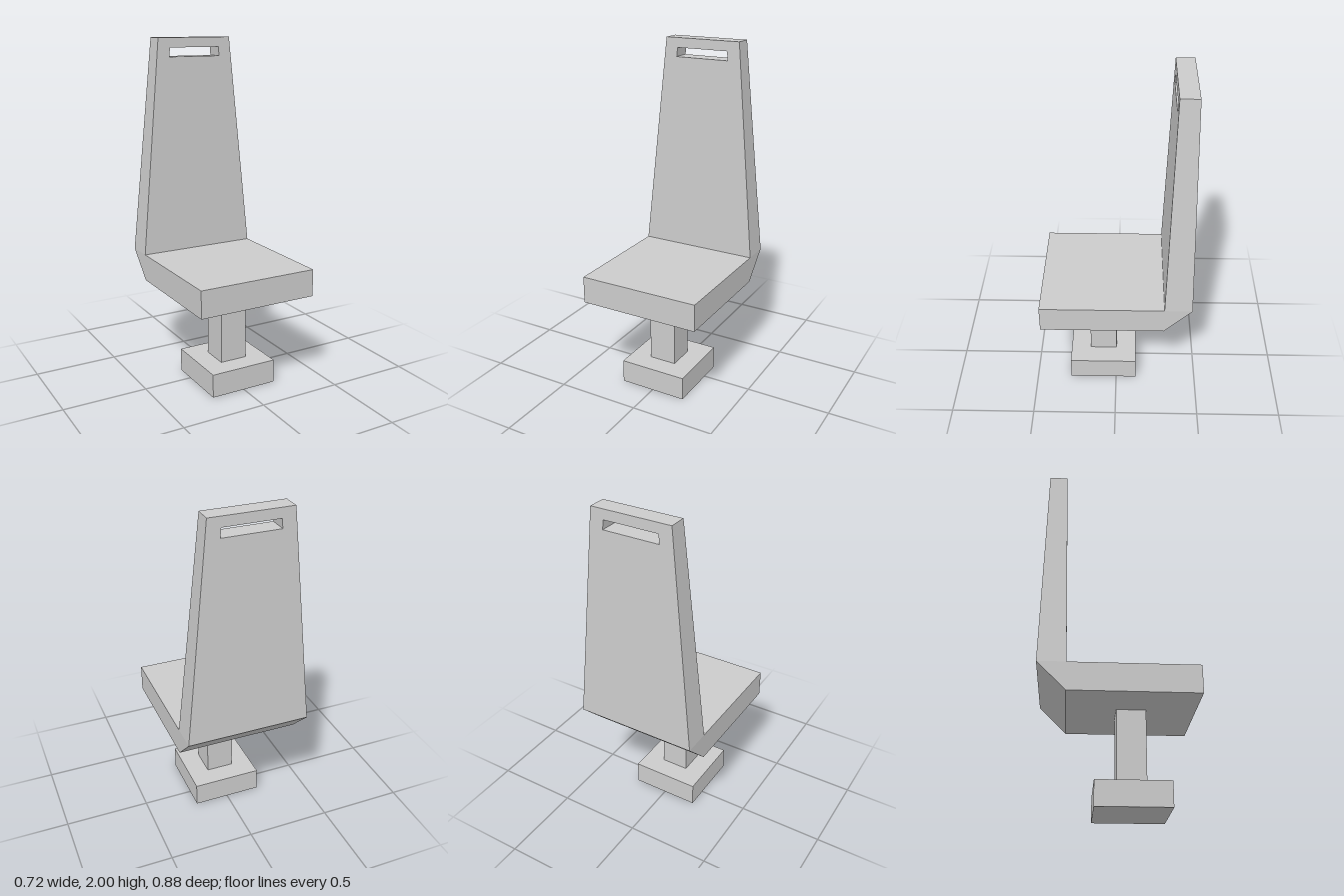
import * as THREE from 'three';

const material = new THREE.MeshStandardMaterial({ color: 0xcccccc, flatShading: true });

const WIDTH = 0.72;
const SEAT_BOTTOM = 0.565;
const SEAT_TOP = 0.725;
const TOP = 2;

function addPart(group, name, geometry) {
  const mesh = new THREE.Mesh(geometry, material);
  mesh.name = name;
  group.add(mesh);
  return mesh;
}

// Upright box between two heights
function addBlock(group, name, size, y0, y1, z) {
  addPart(group, name, new THREE.BoxGeometry(size, y1 - y0, size)).position.set(0, (y0 + y1) / 2, z);
}

function polygon(points) {
  return points.map(([x, y]) => new THREE.Vector2(x, y));
}

// Seat slab: side profile (z, y) with a chamfered rear underside, extruded across x
function seatGeometry() {
  const profile = new THREE.Shape(polygon([
    [0.44, SEAT_BOTTOM], [0.44, SEAT_TOP], [-0.44, SEAT_TOP], [-0.28, SEAT_BOTTOM],
  ]));
  const geometry = new THREE.ExtrudeGeometry(profile, { depth: WIDTH, bevelEnabled: false });
  return geometry.rotateY(-Math.PI / 2).translate(WIDTH / 2, 0, 0);
}

// Backrest: trapezoid with a handle slot, its thickness tapering towards the top
function backrestGeometry() {
  const outline = new THREE.Shape(polygon([
    [-WIDTH / 2, SEAT_TOP], [WIDTH / 2, SEAT_TOP], [0.234, TOP], [-0.234, TOP],
  ]));
  outline.holes.push(new THREE.Path(polygon([
    [-0.165, 1.89], [-0.16, 1.943], [0.16, 1.943], [0.165, 1.89],
  ])));
  const geometry = new THREE.ExtrudeGeometry(outline, { depth: 1, bevelEnabled: false });
  const position = geometry.attributes.position;
  for (let i = 0; i < position.count; i++) {
    const t = (position.getY(i) - SEAT_TOP) / (TOP - SEAT_TOP);
    const back = THREE.MathUtils.lerp(-0.44, -0.412, t);
    const front = THREE.MathUtils.lerp(-0.28, -0.308, t);
    position.setZ(i, THREE.MathUtils.lerp(back, front, position.getZ(i)));
  }
  geometry.computeVertexNormals();
  return geometry;
}

export function createModel() {
  const chair = new THREE.Group();
  chair.name = 'chair';
  addBlock(chair, 'base', 0.41, 0, 0.14, 0.081);
  addBlock(chair, 'post', 0.165, 0.14, SEAT_BOTTOM, 0.081);
  addPart(chair, 'seat', seatGeometry());
  addPart(chair, 'backrest', backrestGeometry());
  return chair;
}
